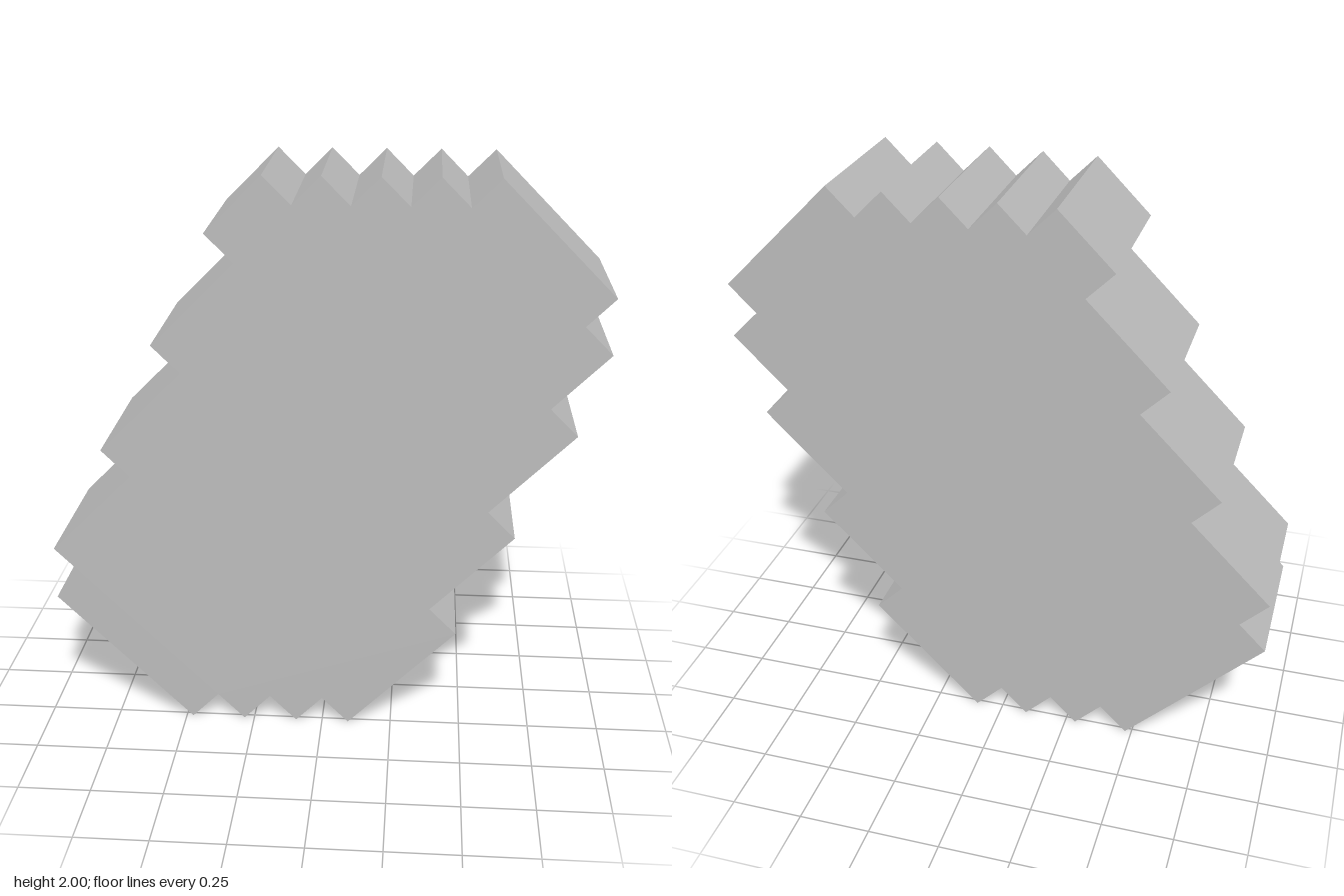
import * as THREE from 'three';

export function createModel() {
  const model = new THREE.Group();
  model.name = 'steppedSlab';
  const grey = new THREE.MeshStandardMaterial({ color: 0xbbbbbb });
  grey.name = 'grey';

  // Outline on a diagonal grid: the slab is 21 steps tall
  const step = 2 / 21;
  const depth = 0.536;
  const outline = [
    // bottom teeth
    [-5, 0], [-4, 1], [-3, 0], [-2, 1], [-1, 0], [0, 1], [1, 0],
    // right side steps
    [5, 4], [4, 5], [7, 8], [6, 9], [9, 12], [8, 13], [10, 15], [9, 16], [10, 17],
    // top teeth
    [6, 21], [5, 20], [4, 21], [3, 20], [2, 21], [1, 20], [0, 21], [-1, 20], [-2, 21],
    // left side steps
    [-4, 19], [-3, 18], [-6, 15], [-5, 14], [-8, 11], [-7, 10], [-10, 7], [-9, 6], [-10, 5],
  ];
  const shape = new THREE.Shape(outline.map(([x, y]) => new THREE.Vector2(x * step, y * step)));

  // Straight extrusion, centred front to back
  const geometry = new THREE.ExtrudeGeometry(shape, { depth, bevelEnabled: false });
  geometry.translate(0, 0, -depth / 2);
  const slab = new THREE.Mesh(geometry, grey);
  slab.name = 'slab';
  model.add(slab);
  return model;
}
